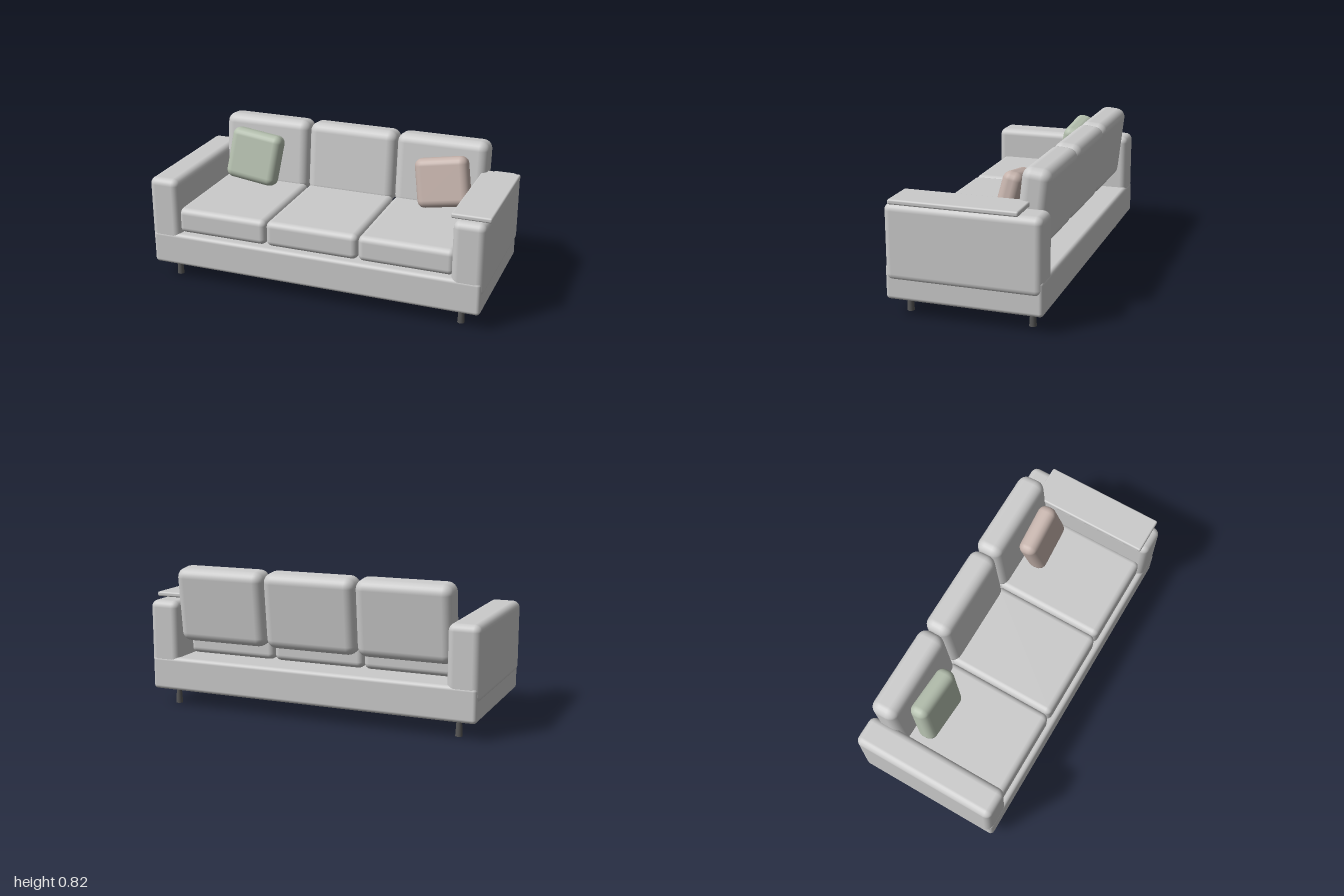
import * as THREE from 'three';
import { RoundedBoxGeometry } from 'three/addons/geometries/RoundedBoxGeometry.js';

const material = (color) => new THREE.MeshStandardMaterial({ color });

export function createModel() {
  const sofa = new THREE.Group();
  sofa.name = 'sofa';
  const fabric = material(0xcccccc);
  const legPaint = material(0x555555);

  // Rounded block placed by its centre
  function block(name, size, radius, centre, mat = fabric, rotation = [0, 0, 0]) {
    const mesh = new THREE.Mesh(new RoundedBoxGeometry(...size, 3, radius), mat);
    mesh.name = name;
    mesh.position.set(...centre);
    mesh.rotation.set(...rotation);
    sofa.add(mesh);
    return mesh;
  }

  // Plinth and arms
  block('base', [1.96, 0.195, 0.86], 0.022, [-0.01, 0.1925, 0]);
  block('rightArm', [0.18, 0.42, 0.856], 0.04, [-0.91, 0.41, 0]);
  block('leftArm', [0.18, 0.42, 0.856], 0.04, [0.89, 0.41, 0]);

  // Three seat cushions, each with a leaning back cushion
  for (let i = -1; i <= 1; i++) {
    const x = -0.012 + i * 0.551;
    block('seatCushion', [0.549, 0.15, 0.66], 0.035, [x, 0.365, 0.07]);
    block('backCushion', [0.549, 0.435, 0.162], 0.055, [x, 0.602, -0.318], fabric, [-0.11, 0, 0]);
  }

  // Scatter pillows resting against the back
  block('greenPillow', [0.325, 0.31, 0.112], 0.045, [-0.592, 0.61, -0.152], material(0xb4bfae), [-0.22, 0, -0.12]);
  block('pinkPillow', [0.312, 0.288, 0.112], 0.045, [0.587, 0.604, -0.152], material(0xc4b2ab), [-0.22, 0, 0.17]);

  // Tray on the left arm
  block('armTray', [0.22, 0.028, 0.7], 0.01, [0.89, 0.637, 0.04]);

  // Tapered legs, slightly wider at the floor
  const legGeometry = new THREE.CylinderGeometry(0.014, 0.02, 0.1, 16);
  for (const x of [-0.873, 0.85]) {
    for (const z of [-0.341, 0.341]) {
      const leg = new THREE.Mesh(legGeometry, legPaint);
      leg.name = 'leg';
      leg.position.set(x, 0.05, z);
      sofa.add(leg);
    }
  }
  return sofa;
}
